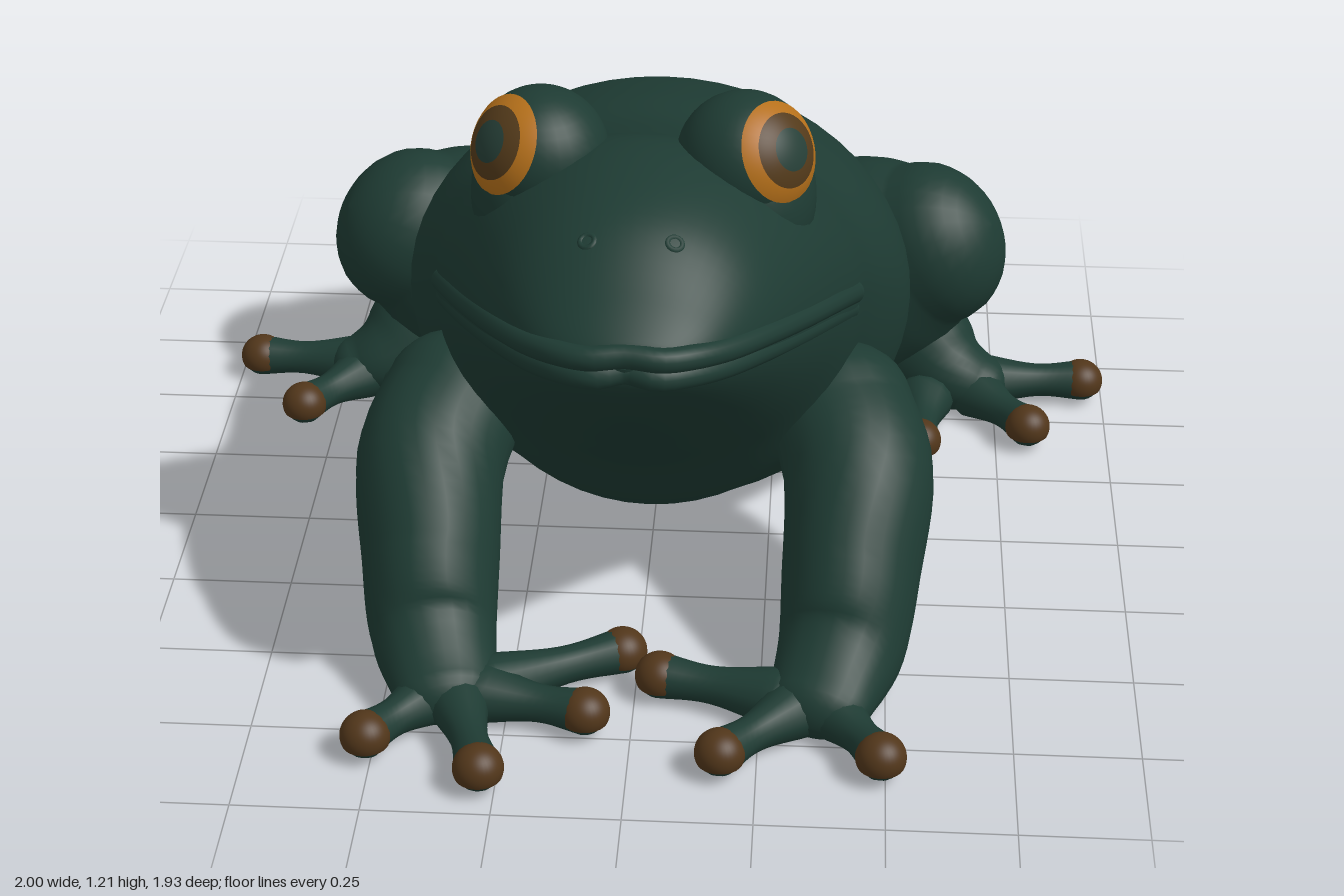
import * as THREE from 'three';

const mat = (name, color) => {
  const m = new THREE.MeshStandardMaterial({ color });
  m.name = name;
  return m;
};
const V = (x, y, z) => new THREE.Vector3(x, y, z);

// Smooth curve through triples, one unit of parameter shared evenly by the points
const spline = (pts) => new THREE.CatmullRomCurve3(pts.map((p) => V(...p)), false, 'catmullrom', 0.5);

// Skin over a list of closed rings; nothing goes below the floor
function loft(rings) {
  const n = rings[0].length, pos = [], idx = [];
  rings.forEach((r) => r.forEach((p) => pos.push(p.x, Math.max(0, p.y), p.z)));
  for (let i = 0; i < rings.length - 1; i++) {
    for (let j = 0; j < n; j++) {
      const k = (j + 1) % n, a = i * n + j, b = i * n + k;
      idx.push(a, b, a + n, b, b + n, a + n);
    }
  }
  const g = new THREE.BufferGeometry();
  g.setAttribute('position', new THREE.Float32BufferAttribute(pos, 3));
  g.setIndex(idx);
  g.computeVertexNormals();
  return g;
}

// Round-ended limb; each point is [x, y, z, side radius, up radius]
function limb(pts, steps = 24, sides = 24) {
  const path = spline(pts.map((p) => p.slice(0, 3)));
  const size = spline(pts.map((p) => [p[3], p[4] ?? p[3], 0]));
  const rings = [];
  const ring = (t, shift, k) => {
    const c = path.getPoint(t), r = size.getPoint(t), T = path.getTangent(t);
    const S = V(0, 1, 0).cross(T).normalize(), U = T.clone().cross(S);
    c.addScaledVector(T, shift * Math.min(r.x, r.y));
    rings.push(Array.from({ length: sides }, (_, j) => {
      const a = (j / sides) * Math.PI * 2;
      return c.clone().addScaledVector(S, Math.cos(a) * r.x * k).addScaledVector(U, Math.sin(a) * r.y * k);
    }));
  };
  for (let i = 8; i > 0; i--) ring(0, -Math.sin(i * Math.PI / 16), Math.cos(i * Math.PI / 16));
  for (let i = 0; i <= steps; i++) ring(i / steps, 0, 1);
  for (let i = 1; i <= 8; i++) ring(1, Math.sin(i * Math.PI / 16), Math.cos(i * Math.PI / 16));
  return loft(rings);
}

// Trunk stations from snout to rump: z, top, bottom, half width, height of widest point
const STATIONS = [
  [0.855, 0.905, 0.905, 0, 0.905], [0.845, 0.94, 0.86, 0.08, 0.905], [0.82, 0.965, 0.82, 0.135, 0.9],
  [0.76, 1.01, 0.755, 0.195, 0.885], [0.64, 1.09, 0.64, 0.27, 0.855], [0.5, 1.123, 0.51, 0.33, 0.81],
  [0.35, 1.12, 0.37, 0.385, 0.76], [0.2, 1.06, 0.2, 0.425, 0.7], [0, 0.99, 0.075, 0.46, 0.6],
  [-0.2, 0.955, -0.03, 0.535, 0.48], [-0.4, 0.895, -0.05, 0.525, 0.42], [-0.55, 0.795, -0.05, 0.46, 0.37],
  [-0.7, 0.63, -0.04, 0.33, 0.32], [-0.82, 0.475, -0.03, 0.215, 0.25], [-0.91, 0.34, -0.02, 0.135, 0.18],
  [-0.95, 0.24, 0.01, 0.08, 0.14], [-0.965, 0.14, 0.14, 0, 0.14],
];

function trunk() {
  const heights = spline(STATIONS.map((s) => [s[0], s[1], s[2]]));
  const widths = spline(STATIONS.map((s) => [s[3], s[4], 0]));
  const rings = [];
  for (let i = 0; i <= 96; i++) {
    const h = heights.getPoint(i / 96), w = widths.getPoint(i / 96);
    rings.push(Array.from({ length: 56 }, (_, j) => {
      const a = (j / 56) * Math.PI * 2, s = Math.sin(a);
      return V(-Math.cos(a) * w.x, w.y + s * (s > 0 ? h.y - w.y : w.y - h.z), h.x);
    }));
  }
  return loft(rings);
}

export function createModel() {
  const skin = mat('dark green skin', 0x1e3b33);
  const toeBrown = mat('brown toe pads', 0x51361a);
  const amber = mat('amber iris', 0xb5701a);
  const irisBrown = mat('brown inner iris', 0x533a1a);
  const pupil = mat('grey green pupil', 0x263f37);
  const frog = new THREE.Group();
  frog.name = 'frog';

  const add = (name, geo, m, parent = frog) => {
    const mesh = new THREE.Mesh(geo, m);
    mesh.name = name;
    parent.add(mesh);
    return mesh;
  };
  // Ellipsoid, or only its upper part when the polar angle is cut short
  const ball = (name, p, s, m, parent, polar = Math.PI) => {
    const mesh = add(name, new THREE.SphereGeometry(1, 32, 20, 0, Math.PI * 2, 0, polar), m, parent);
    mesh.position.set(...p);
    mesh.scale.set(...s);
    return mesh;
  };

  add('body', trunk(), skin);

  // Lips run round the snout along the widest line of the head
  const lip = (name, drop, out, r) => {
    const half = STATIONS.slice(1, 8).map(([z, , , w, y]) => V(w + out, y + drop, z));
    const pts = [...half.slice().reverse(), V(0, 0.91 + drop, 0.855 + out),
      ...half.map((p) => V(-p.x, p.y, p.z))];
    add(name, new THREE.TubeGeometry(new THREE.CatmullRomCurve3(pts), 96, r, 12), skin);
    for (const i of [0, pts.length - 1]) ball('mouthCorner', pts[i].toArray(), [r, r, r], skin);
  };
  lip('upperLip', 0.015, -0.014, 0.024);
  lip('lowerLip', -0.022, -0.024, 0.025);

  // Toe with a brown pad over the top of its tip
  const toe = (root, tip, parent) => {
    const mid = [0, 1, 2].map((i) => root[i] * 0.45 + tip[i] * 0.55);
    add('toe', limb([[...root, 0.065, 0.06], [...mid, 0.038], [...tip, 0.046]], 12, 14), skin, parent);
    ball('toePad', tip, [0.05, 0.048, 0.05], toeBrown, parent, 1.95);
  };

  for (const s of [1, -1]) {
    const side = s > 0 ? 'left' : 'right';
    const part = (name) => {
      const g = new THREE.Group();
      g.name = side + name;
      frog.add(g);
      return g;
    };
    const flip = (pts) => pts.map(([x, ...rest]) => [x * s, ...rest]);

    // Eye: mound, ball and rings of colour
    const eye = part('Eye');
    ball('eyeMound', [0.205 * s, 0.98, 0.305], [0.13, 0.175, 0.16], skin, eye);
    ball('eyeball', [0.195 * s, 1.073, 0.33], [0.132, 0.132, 0.132], skin, eye);
    const dir = V(0.7 * s, 0.44, 0.56).normalize();
    [['pupil', 0, 0.31, pupil], ['innerIris', 0.31, 0.56, irisBrown], ['iris', 0.56, 0.8, amber]].forEach(([n, a, b, m]) => {
      const cap = add(n, new THREE.SphereGeometry(0.136, 36, 8, 0, Math.PI * 2, a, b - a), m, eye);
      cap.position.set(0.195 * s, 1.073, 0.33);
      cap.quaternion.setFromUnitVectors(V(0, 1, 0), dir);
    });

    // Nostril rim
    const nostril = add(side + 'Nostril', new THREE.TorusGeometry(0.014, 0.006, 8, 16), skin);
    nostril.position.set(0.08 * s, 1.062, 0.665);
    nostril.rotation.set(-1.1, 0.25 * s, 0);

    // Arm, flat hand and fingers
    const arm = part('Arm');
    add('arm', limb(flip([
      [0.395, 0.43, 0.18, 0.15, 0.14], [0.435, 0.345, 0.3, 0.152, 0.16], [0.425, 0.2, 0.43, 0.14, 0.165],
      [0.41, 0.1, 0.54, 0.128, 0.14], [0.37, 0.06, 0.68, 0.105, 0.075],
    ])), skin, arm);
    const fingers = s > 0
      ? [[0.49, 0.84], [0.18, 0.845], [0.05, 0.6]]
      : [[-0.51, 0.83], [-0.28, 0.92], [-0.09, 0.73], [-0.03, 0.52]];
    for (const [x, z] of fingers) {
      const rx = 0.365 * s + (x - 0.365 * s) * 0.25;
      toe([rx, 0.05, 0.67 + (z - 0.67) * 0.15], [x, 0.05, z], arm);
    }

    // Folded hind leg: thigh up to the knee, shin along the floor, foot turned outwards
    const leg = part('HindLeg');
    add('thigh', limb(flip([
      [0.27, 0.19, -0.76, 0.19, 0.2], [0.39, 0.265, -0.7, 0.22, 0.255],
      [0.51, 0.345, -0.65, 0.195, 0.24], [0.592, 0.395, -0.615, 0.164, 0.19],
    ])), skin, leg);
    add('shin', limb(flip([
      [0.3, 0.14, -0.8, 0.15, 0.17], [0.45, 0.14, -0.73, 0.16, 0.18], [0.56, 0.12, -0.65, 0.125, 0.16],
      [0.65, 0.08, -0.59, 0.1, 0.1], [0.72, 0.06, -0.57, 0.075, 0.06],
    ])), skin, leg);
    const calf = ball('calf', [0.535 * s, 0.25, -0.655], [0.135, 0.23, 0.15], skin, leg);
    calf.rotation.z = -0.2 * s;
    toe([0.72 * s, 0.055, -0.59], [0.95 * s, 0.05, -0.61], leg);
    toe([0.71 * s, 0.05, -0.54], [0.82 * s, 0.05, -0.4], leg);
    toe([0.59 * s, 0.05, -0.5], [0.575 * s, 0.05, -0.325], leg);
  }
  return frog;
}
